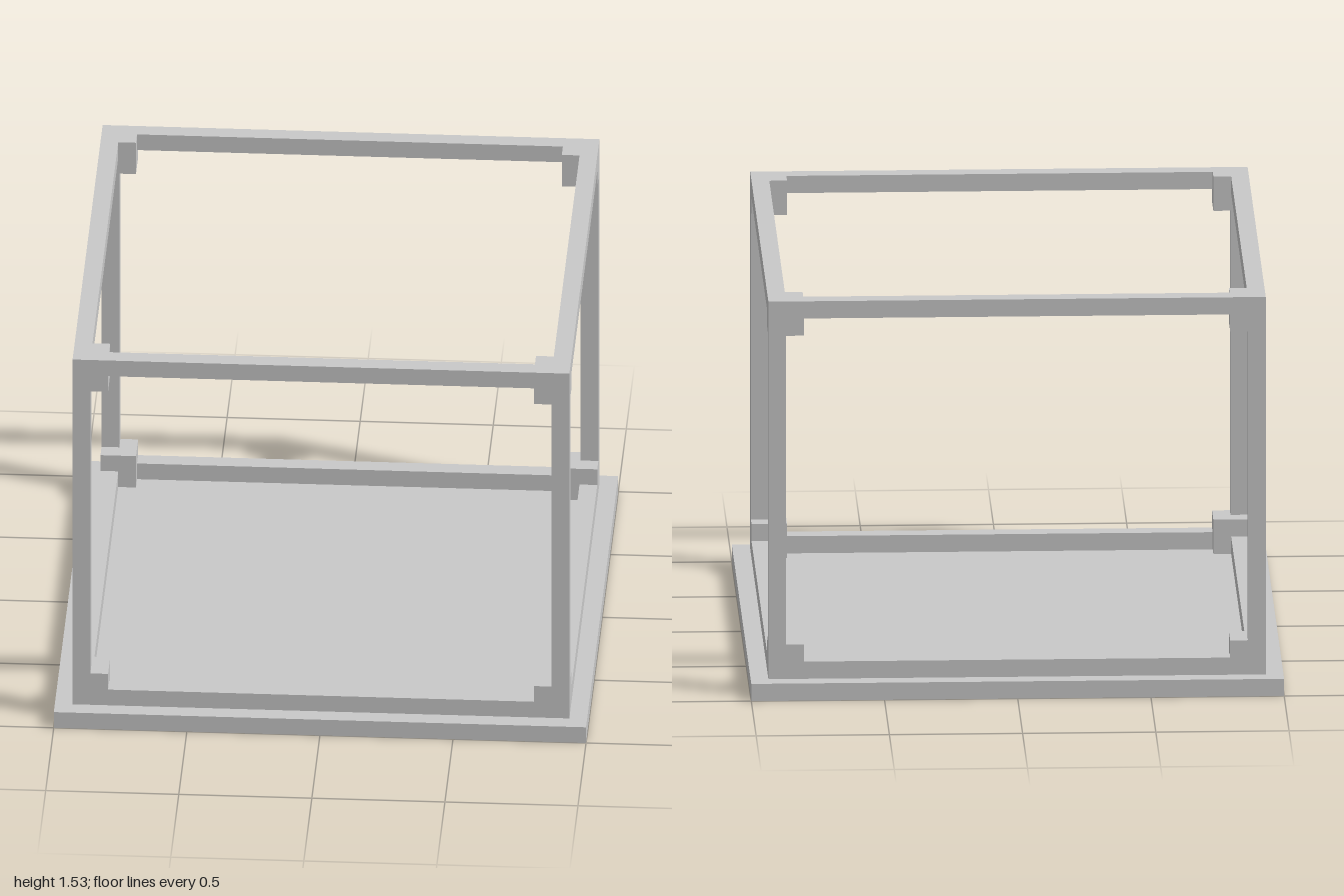
import * as THREE from 'three';

const T = 1 / 15;            // bar and slab thickness
const C = 2 * T;             // corner block size
const OUT = 14 * T;          // outer half width of the frame
const Y0 = T, Y1 = 23 * T;   // bottom and top of the frame

export function createModel() {
  const model = new THREE.Group();
  model.name = 'cubeFrame';
  const grey = new THREE.MeshStandardMaterial({ color: 0xc8c8c8 });
  grey.name = 'lightGrey';

  const box = (name, w, h, d, x, y, z) => {
    const mesh = new THREE.Mesh(new THREE.BoxGeometry(w, h, d), grey);
    mesh.name = name;
    mesh.position.set(x, y, z);
    model.add(mesh);
  };

  // Base slab
  box('base', 2, T, 2, 0, T / 2, 0);

  const barAt = OUT - T / 2;
  const blockAt = OUT - C / 2;
  const span = 2 * (OUT - C);

  for (const sx of [-1, 1]) {
    for (const sz of [-1, 1]) {
      // Upright posts between the corner blocks
      box('post', T, Y1 - Y0 - 2 * C, T, sx * barAt, (Y0 + Y1) / 2, sz * barAt);
      // Corner blocks, flush with the outside of the frame
      for (const y of [Y0 + C / 2, Y1 - C / 2]) {
        box('cornerBlock', C, C, C, sx * blockAt, y, sz * blockAt);
      }
    }
  }

  // Horizontal rails along the bottom and top
  for (const y of [Y0 + T / 2, Y1 - T / 2]) {
    for (const s of [-1, 1]) {
      box('crossRail', span, T, T, 0, y, s * barAt);
      box('sideRail', T, T, span, s * barAt, y, 0);
    }
  }

  return model;
}
